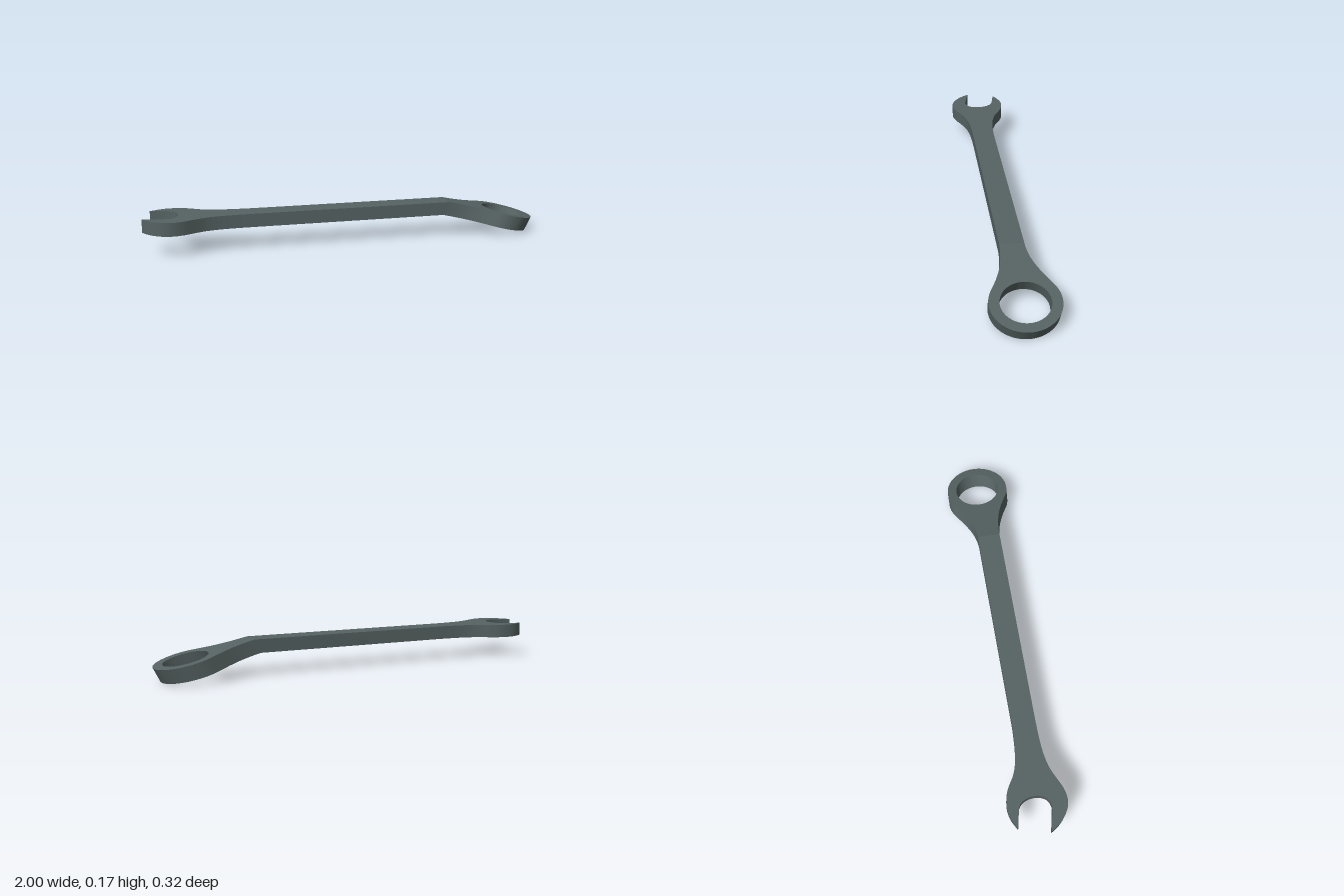
import * as THREE from 'three';
import { toCreasedNormals } from 'three/addons/utils/BufferGeometryUtils.js';

const BOTTOM = 0.108, THICK = 0.066;      // flat part of the bar
const BEND_X = 0.53, SLOPE = 0.23, LEAN = 0.033; // bend line, drop per unit, backward lean of the side walls

// Extrude a plan outline (shape y = -z) upward, then bend everything past BEND_X downward.
function bentPlate(shape) {
  const geo = new THREE.ExtrudeGeometry(shape, { depth: THICK, bevelEnabled: false, curveSegments: 40 });
  geo.rotateX(-Math.PI / 2);
  const p = geo.attributes.position;
  for (let i = 0; i < p.count; i++) {
    const x = p.getX(i), y = p.getY(i);
    const past = x > BEND_X - 1e-4;
    const lean = past && y < THICK / 2 ? LEAN : 0;
    const drop = past ? (x - BEND_X) * SLOPE : 0;
    p.setXYZ(i, x - lean, y + BOTTOM - drop, p.getZ(i));
  }
  geo.deleteAttribute('normal');
  return toCreasedNormals(geo, 0.5);
}

const points = (list) => list.map(([x, y]) => new THREE.Vector2(x, y));

export function createModel() {
  const group = new THREE.Group();
  group.name = 'combinationWrench';
  const steel = new THREE.MeshStandardMaterial({ color: 0x566262 });
  const add = (name, shape) => {
    const mesh = new THREE.Mesh(bentPlate(shape), steel);
    mesh.name = name;
    group.add(mesh);
  };

  // Straight shaft with the tilted open jaw
  const jaw = new THREE.Shape();
  jaw.moveTo(BEND_X, -0.068);
  jaw.lineTo(BEND_X, 0.045);
  jaw.lineTo(-0.48, 0.045);
  jaw.splineThru(points([[-0.57, 0.05], [-0.65, 0.061], [-0.715, 0.082], [-0.77, 0.115],
    [-0.815, 0.132], [-0.865, 0.137], [-0.91, 0.128], [-0.96, 0.102]]));
  jaw.lineTo(-0.872, 0.083);
  jaw.splineThru(points([[-0.848, 0.066], [-0.832, 0.035], [-0.828, 0], [-0.836, -0.036],
    [-0.855, -0.06], [-0.888, -0.071]]));
  jaw.lineTo(-1, -0.046);
  jaw.splineThru(points([[-0.975, -0.085], [-0.945, -0.115], [-0.905, -0.139], [-0.865, -0.147],
    [-0.815, -0.138], [-0.75, -0.108], [-0.7, -0.088], [-0.64, -0.076], [-0.57, -0.07], [-0.48, -0.068]]));
  jaw.closePath();
  add('shaftAndOpenJaw', jaw);

  // Angled neck flaring into the closed ring
  const cx = 0.848, rx = 0.152, ry = 0.158, join = 2.1;
  const jx = cx + rx * Math.cos(join), jy = ry * Math.sin(join);
  const tx = jx - 0.09 * Math.sin(join), ty = jy + 0.09 * Math.cos(join);
  const ring = new THREE.Shape();
  ring.moveTo(BEND_X, -0.068);
  ring.bezierCurveTo(0.63, -0.07, tx, -ty, jx, -jy);
  ring.absellipse(cx, 0, rx, ry, -join, join, false, 0);
  ring.bezierCurveTo(tx, ty, 0.63, 0.048, BEND_X, 0.045);
  ring.closePath();
  const hole = new THREE.Path();
  hole.absellipse(cx + 0.002, 0, 0.105, 0.111, 0, Math.PI * 2, true, 0);
  ring.holes.push(hole);
  add('neckAndRingEnd', ring);

  return group;
}
